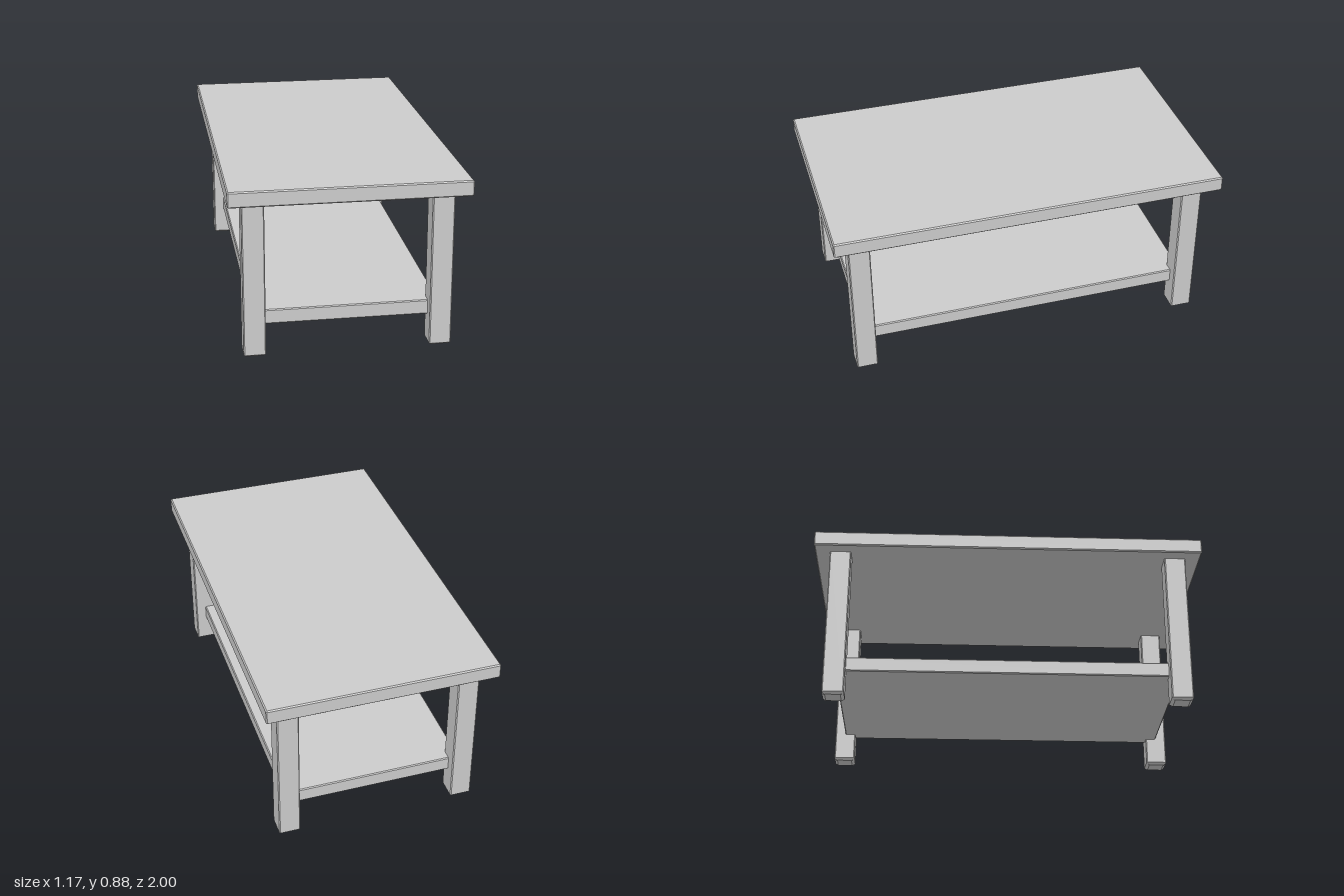
import * as THREE from 'three';

const material = new THREE.MeshStandardMaterial({ color: 0xcccccc, flatShading: true });

// Upright block with chamfered vertical edges (c) and bevelled top and bottom rims
function block(name, w, y0, y1, d, c, rimSize, rimHeight) {
  const x = w / 2, z = d / 2;
  const outline = new THREE.Shape([
    [x - c, -z], [x, c - z], [x, z - c], [x - c, z],
    [c - x, z], [-x, z - c], [-x, c - z], [c - x, -z],
  ].map(([px, pz]) => new THREE.Vector2(px, pz)));
  const geometry = new THREE.ExtrudeGeometry(outline, {
    depth: y1 - y0 - 2 * rimHeight,
    bevelEnabled: true,
    bevelSegments: 1,
    bevelSize: rimSize,
    bevelOffset: -rimSize,
    bevelThickness: rimHeight,
  });
  geometry.rotateX(-Math.PI / 2).translate(0, y0 + rimHeight, 0);
  const mesh = new THREE.Mesh(geometry, material);
  mesh.name = name;
  return mesh;
}

export function createModel() {
  const table = new THREE.Group();
  table.name = 'coffeeTable';

  // Table top and lower shelf, whose corners run into the leg centres
  table.add(block('tableTop', 1.166, 0.797, 0.875, 2, 0.005, 0.006, 0.006));
  table.add(block('lowerShelf', 0.916, 0.148, 0.223, 1.736, 0.004, 0.005, 0.005));

  // Four legs with chamfered feet; their upper ends sit inside the top
  for (const [sx, side] of [[1, 'Left'], [-1, 'Right']]) {
    for (const [sz, end] of [[1, 'front'], [-1, 'back']]) {
      const leg = block(`${end}${side}Leg`, 0.109, 0, 0.83, 0.109, 0.005, 0.016, 0.012);
      leg.position.set(sx * 0.458, 0, sz * 0.868);
      table.add(leg);
    }
  }
  return table;
}
